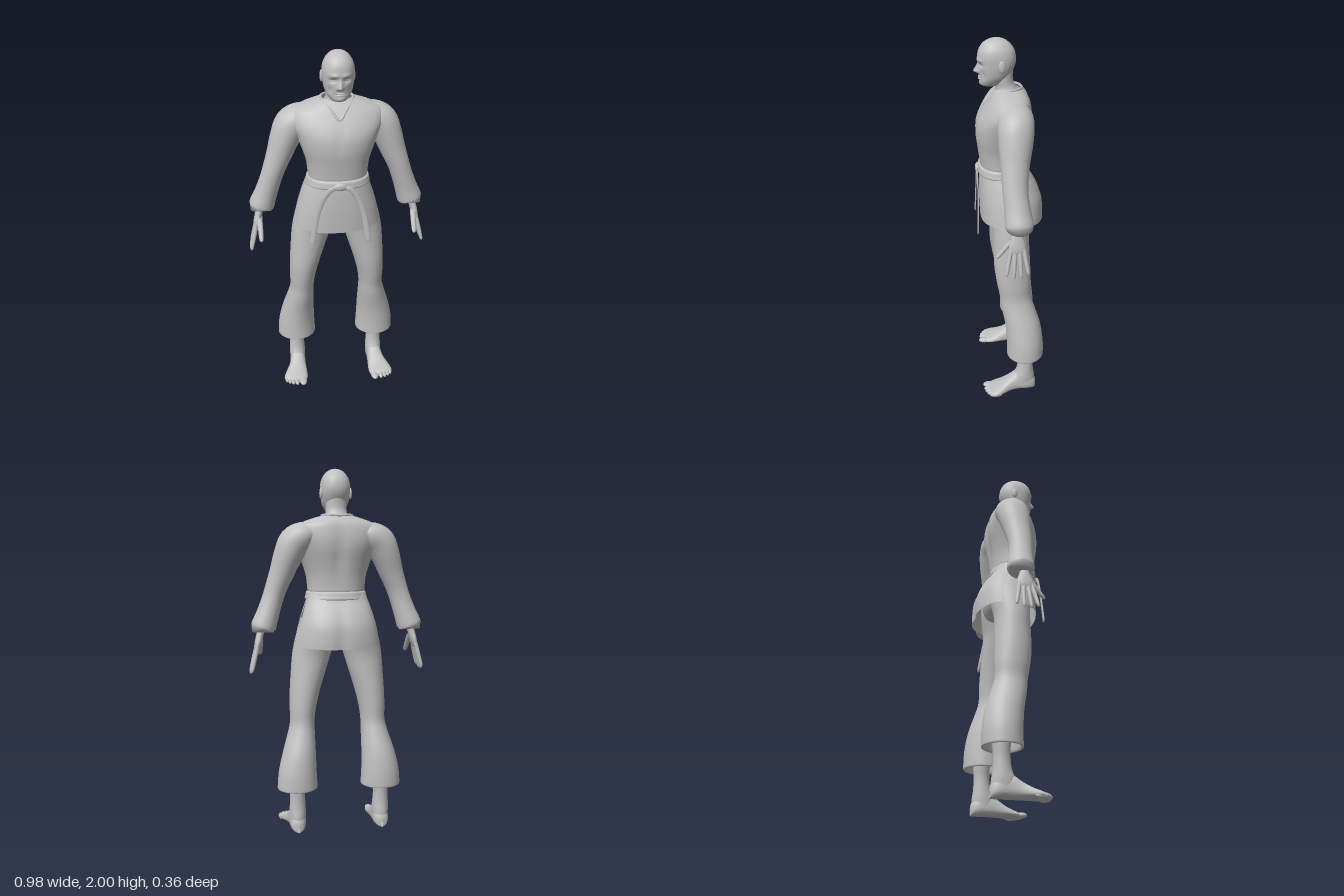
import * as THREE from 'three';

const clothGrey = new THREE.MeshStandardMaterial({ color: 0xc0c0c0, side: THREE.DoubleSide });
clothGrey.name = 'plain grey';

const { sin, cos, PI, abs, sign, pow, exp } = Math;
const bump = (v, centre, width) => exp(-(((v - centre) / width) ** 2));
const spow = (v, p) => sign(v) * pow(abs(v), p);

// Smoothly resample a few cross-sections (Catmull-Rom on every number)
function resample(secs, steps) {
  const out = [], last = secs.length - 1;
  for (let i = 0; i < last; i++) {
    const [a, b, c, d] = [secs[Math.max(i - 1, 0)], secs[i], secs[i + 1], secs[Math.min(i + 2, last)]];
    for (let k = 0; k < steps; k++) {
      const t = k / steps;
      out.push(b.map((_, n) => 0.5 * (2 * b[n] + (c[n] - a[n]) * t
        + (2 * a[n] - 5 * b[n] + 4 * c[n] - d[n]) * t * t
        + (3 * b[n] - a[n] - 3 * c[n] + d[n]) * t * t * t)));
    }
  }
  out.push(secs[last]);
  return out;
}

// Skin rows of points; point(section, u, rowIndex, rows) gives [x, y, z]
function loft(name, secs, point, { seg = 32, steps = 4, closed = true } = {}) {
  const rows = resample(secs, steps), cols = closed ? seg : seg + 1, pos = [], idx = [];
  rows.forEach((s, i) => {
    for (let j = 0; j < cols; j++) pos.push(...point(s, j / seg, i, rows));
  });
  for (let i = 0; i < rows.length - 1; i++) for (let j = 0; j < seg; j++) {
    const k = (j + 1) % cols, a = i * cols + j, b = a + cols, c = i * cols + k, d = c + cols;
    idx.push(a, b, c, c, b, d);
  }
  const g = new THREE.BufferGeometry();
  g.setAttribute('position', new THREE.Float32BufferAttribute(pos, 3));
  g.setIndex(idx);
  g.computeVertexNormals();
  return part(name, g);
}

function part(name, geometry) {
  const m = new THREE.Mesh(geometry, clothGrey);
  m.name = name;
  return m;
}

// Limb: sections [x, y, z, radius in the xy plane, radius along z], going downwards
function limb(name, secs, opts) {
  return loft(name, secs, ([x, y, z, a, b], u, i, rows) => {
    const p = rows[Math.max(i - 1, 0)], q = rows[Math.min(i + 1, rows.length - 1)];
    const dx = q[0] - p[0], dy = q[1] - p[1], l = Math.hypot(dx, dy) || 1;
    const s = sin(u * 2 * PI) * a;
    return [x - dy / l * s, y + dx / l * s, z + cos(u * 2 * PI) * b];
  }, opts);
}

// Upright form: sections [y, centre x, half width, front z, back z]
const upright = (power = 1) => ([y, x, rx, zf, zb], u) => {
  const a = u * 2 * PI;
  return [x + rx * spow(sin(a), power), y, (zf + zb) / 2 + (zf - zb) / 2 * spow(cos(a), power)];
};

function ball(name, x, y, z, sx, sy, sz) {
  const g = new THREE.SphereGeometry(1, 20, 14);
  g.scale(sx, sy, sz);
  g.translate(x, y, z);
  return part(name, g);
}

// Copy to the other side with the winding turned round
function mirrored(mesh) {
  const g = mesh.geometry.clone().scale(-1, 1, 1), ix = g.index.array;
  for (let i = 0; i < ix.length; i += 3) [ix[i], ix[i + 1]] = [ix[i + 1], ix[i]];
  g.computeVertexNormals();
  return part(mesh.name.replace('left', 'right'), g);
}

export function createModel() {
  const model = new THREE.Group();
  model.name = 'martialArtist';
  const add = (...m) => model.add(...m);
  const pair = (...ms) => ms.forEach((m) => add(m, mirrored(m)));

  // Head with brow, eye sockets, nose, mouth and chin shaped into it
  const headForm = upright(0.9);
  add(loft('head', [
    [2.0, 0, 0.002, 0.067, 0.063], [1.993, 0, 0.03, 0.098, 0.03], [1.975, 0, 0.054, 0.13, 0.0],
    [1.945, 0, 0.073, 0.152, -0.024], [1.91, 0, 0.081, 0.16, -0.034], [1.875, 0, 0.081, 0.157, -0.033],
    [1.84, 0, 0.077, 0.154, -0.02], [1.805, 0, 0.068, 0.151, 0.002], [1.778, 0, 0.052, 0.148, 0.03],
    [1.762, 0, 0.034, 0.138, 0.06], [1.757, 0, 0.003, 0.1, 0.094],
  ], (s, u) => {
    const p = headForm(s, u), [x, y] = p;
    if (cos(u * 2 * PI) > 0) {
      const ax = abs(x);
      p[2] += 0.007 * bump(y, 1.893, 0.01) * bump(ax, 0.028, 0.024)
        - 0.011 * bump(y, 1.87, 0.012) * bump(ax, 0.034, 0.017)
        + 0.027 * bump(x, 0, 0.011) * bump(y, 1.834, y > 1.834 ? 0.03 : 0.009)
        + 0.008 * bump(ax, 0.012, 0.008) * bump(y, 1.833, 0.008)
        + 0.006 * bump(y, 1.773, 0.012) * bump(x, 0, 0.025)
        - 0.005 * bump(y, 1.802, 0.004) * bump(x, 0, 0.026)
        - 0.006 * bump(y, 1.82, 0.02) * bump(ax, 0.05, 0.014);
    }
    return p;
  }, { seg: 80, steps: 8 }));
  add(ball('upperLip', 0, 1.807, 0.15, 0.024, 0.004, 0.008), ball('lowerLip', 0, 1.797, 0.149, 0.02, 0.005, 0.009));
  pair(ball('leftEye', 0.032, 1.869, 0.131, 0.014, 0.006, 0.011),
    ball('leftEar', 0.081, 1.868, 0.042, 0.009, 0.031, 0.018));

  add(loft('neck', [
    [1.85, 0, 0.058, 0.09, -0.02], [1.79, 0, 0.058, 0.08, -0.02], [1.755, 0, 0.06, 0.072, -0.035],
    [1.72, 0, 0.075, 0.075, -0.06], [1.68, 0, 0.08, 0.09, -0.07],
  ], upright()));

  // Jacket body with a groove down the spine
  const body = upright(0.88);
  add(loft('jacketBody', [
    [1.748, 0, 0.08, 0.06, -0.062], [1.736, 0, 0.125, 0.074, -0.076], [1.715, 0, 0.185, 0.092, -0.094],
    [1.685, 0, 0.235, 0.114, -0.106], [1.63, 0, 0.24, 0.148, -0.115], [1.57, 0, 0.215, 0.173, -0.114],
    [1.5, 0, 0.19, 0.177, -0.1], [1.43, 0, 0.168, 0.168, -0.088], [1.37, 0, 0.16, 0.16, -0.083],
    [1.345, 0, 0.158, 0.157, -0.082], [1.325, 0, 0.15, 0.15, -0.075],
  ], (s, u) => {
    const p = body(s, u), front = cos(u * 2 * PI) > 0;
    p[2] += front ? -0.006 * bump(p[0], 0, 0.02) * bump(p[1], 1.57, 0.07)
      : 0.014 * bump(p[0], 0, 0.035) * bump(p[1], 1.56, 0.13);
    return p;
  }, { seg: 64 }));

  // V-shaped collar edge
  const collar = new THREE.CatmullRomCurve3([
    [0, 1.748, -0.065], [0.06, 1.75, -0.045], [0.083, 1.748, 0.0], [0.068, 1.735, 0.055],
    [0.035, 1.7, 0.1], [0, 1.66, 0.126], [-0.035, 1.7, 0.1], [-0.068, 1.735, 0.055],
    [-0.083, 1.748, 0.0], [-0.06, 1.75, -0.045],
  ].map((p) => new THREE.Vector3(...p)), true);
  add(part('collar', new THREE.TubeGeometry(collar, 80, 0.007, 8, true)));

  // Sleeves, turned in at the cuff
  pair(limb('leftSleeve', [
    [0.13, 1.655, -0.015, 0.05, 0.07], [0.18, 1.642, -0.015, 0.075, 0.088], [0.235, 1.605, -0.012, 0.086, 0.092],
    [0.272, 1.53, -0.008, 0.078, 0.086], [0.302, 1.45, -0.002, 0.068, 0.075], [0.333, 1.37, 0.002, 0.06, 0.067],
    [0.357, 1.3, 0, 0.058, 0.064], [0.384, 1.22, -0.008, 0.062, 0.067], [0.404, 1.165, -0.013, 0.068, 0.072],
    [0.409, 1.15, -0.013, 0.066, 0.07], [0.404, 1.163, -0.013, 0.054, 0.058], [0.39, 1.21, -0.01, 0.04, 0.045],
  ]));

  // Hands: palm, four spread fingers and a thumb
  pair(limb('leftPalm', [
    [0.4, 1.2, -0.005, 0.024, 0.026], [0.418, 1.14, 0, 0.02, 0.024], [0.428, 1.105, 0, 0.02, 0.03],
    [0.437, 1.07, 0, 0.019, 0.041], [0.446, 1.035, 0, 0.015, 0.043], [0.452, 1.015, 0, 0.006, 0.036],
  ], { seg: 20 }));
  const finger = (name, a, b, r) => limb(name, [0, 0.35, 0.7, 0.93, 1].map((t, i) => [
    ...a.map((v, n) => v + (b[n] - v) * t), r * [1, 1, 0.9, 0.7, 0.05][i], r * [1, 1, 0.9, 0.7, 0.05][i],
  ]), { seg: 10, steps: 2 });
  [[0.032, 0.058, 0.905], [0.011, 0.021, 0.892], [-0.011, -0.018, 0.894], [-0.032, -0.055, 0.908]]
    .forEach(([z0, z1, y1], i) =>
      pair(finger(`leftFinger${i + 1}`, [0.444, 1.045, z0], [0.484 - (y1 - 0.89) * 0.4, y1, z1], 0.0115)));
  pair(finger('leftThumb', [0.424, 1.09, 0.022], [0.421, 0.98, 0.105], 0.015));

  // Jacket skirt in two panels, slit at the sides: sections [y, half width, front z, back z, t]
  const skirt = [
    [1.335, 0.155, 0.155, -0.08, 0], [1.29, 0.172, 0.16, -0.1, 0.15], [1.24, 0.19, 0.163, -0.138, 0.35],
    [1.17, 0.212, 0.164, -0.172, 0.6], [1.1, 0.228, 0.162, -0.18, 0.85], [1.05, 0.237, 0.16, -0.18, 1],
  ];
  const panel = (name, from, to) => loft(name, skirt, ([y, rx, zf, zb, t], u) => {
    const start = from(t), a = start + (to(t) - start) * u, c = cos(a);
    const x = rx * spow(sin(a), 0.85);
    const dip = c < 0 ? 0.012 * t * bump(x, 0, 0.035) : 0;
    return [x, y - 0.012 * t * c * c, spow(c, 0.85) * (c > 0 ? zf : -zb) + dip];
  }, { seg: 40, closed: false });
  add(panel('skirtFront', (t) => -1.66 + 0.2 * t, (t) => 1.66 - 0.2 * t),
    panel('skirtBack', (t) => 1.6 + 0.32 * t, (t) => 2 * PI - 1.6 - 0.32 * t));

  // Belt, knot and hanging ends
  add(loft('belt', [
    [1.342, 0, 0.155, 0.154, -0.078], [1.336, 0, 0.165, 0.166, -0.09], [1.318, 0, 0.169, 0.17, -0.095],
    [1.3, 0, 0.173, 0.171, -0.1], [1.294, 0, 0.16, 0.155, -0.085],
  ], upright(0.88), { seg: 56 }));
  add(ball('beltKnot', 0, 1.315, 0.17, 0.034, 0.022, 0.014));
  pair(limb('leftBeltEnd', [
    [0.015, 1.312, 0.172, 0.012, 0.005], [0.055, 1.298, 0.175, 0.014, 0.005], [0.092, 1.245, 0.174, 0.014, 0.004],
    [0.12, 1.17, 0.174, 0.014, 0.004], [0.138, 1.08, 0.177, 0.014, 0.004], [0.151, 0.995, 0.181, 0.014, 0.004],
    [0.151, 0.993, 0.181, 0.001, 0.001],
  ], { seg: 12 }));

  // Trousers: hips, then wide legs turned in at the hem
  add(loft('trouserHips', [
    [1.3, 0, 0.14, 0.12, -0.07], [1.2, 0, 0.175, 0.125, -0.12], [1.12, 0, 0.19, 0.115, -0.12],
    [1.06, 0, 0.13, 0.08, -0.09], [1.035, 0, 0.03, 0.02, -0.03],
  ], upright()));
  pair(loft('leftTrouserLeg', [
    [1.2, 0.1, 0.1, 0.12, -0.12], [1.1, 0.118, 0.112, 0.112, -0.11], [1.0, 0.143, 0.108, 0.102, -0.094],
    [0.9, 0.163, 0.097, 0.1, -0.096], [0.8, 0.182, 0.085, 0.098, -0.1], [0.7, 0.196, 0.074, 0.085, -0.103],
    [0.62, 0.201, 0.068, 0.07, -0.103], [0.55, 0.209, 0.076, 0.062, -0.122], [0.45, 0.224, 0.092, 0.043, -0.154],
    [0.35, 0.235, 0.105, 0.034, -0.17], [0.27, 0.237, 0.111, 0.033, -0.173], [0.25, 0.237, 0.11, 0.032, -0.17],
    [0.262, 0.237, 0.098, 0.02, -0.158], [0.36, 0.233, 0.085, 0.015, -0.145],
  ], upright(), { seg: 40 }));

  // Shins and bare feet
  pair(loft('leftShin', [
    [0.42, 0.23, 0.055, -0.01, -0.13], [0.27, 0.236, 0.047, -0.028, -0.12], [0.2, 0.238, 0.042, -0.03, -0.116],
    [0.14, 0.238, 0.045, -0.022, -0.118], [0.09, 0.238, 0.047, 0.0, -0.125], [0.03, 0.238, 0.044, 0.01, -0.127],
  ], upright(), { seg: 24 }));
  pair(loft('leftFoot', [ // [z, centre x, half width, height]
    [-0.133, 0.238, 0.004, 0.045], [-0.122, 0.238, 0.03, 0.075], [-0.085, 0.238, 0.044, 0.11],
    [-0.03, 0.239, 0.045, 0.118], [0.02, 0.244, 0.051, 0.085], [0.065, 0.254, 0.064, 0.056],
    [0.1, 0.26, 0.07, 0.04], [0.125, 0.259, 0.062, 0.03], [0.14, 0.257, 0.04, 0.02],
  ], ([z, x, w, h], u) => {
    const a = u * 2 * PI;
    return [x + w * spow(sin(a), 0.8) * (1 - 0.15 * cos(a)), 0.004 + h * (0.5 + 0.5 * spow(cos(a), 0.8)), z];
  }, { seg: 28 }));
  [[0.219, 0.138, 0.022], [0.256, 0.134, 0.014], [0.279, 0.128, 0.013], [0.299, 0.118, 0.013], [0.316, 0.104, 0.012]]
    .forEach(([x, z, r], i) => pair(ball(`leftToe${i + 1}`, x, 0.016, z, r, 0.015, 0.036)));

  return model;
}
